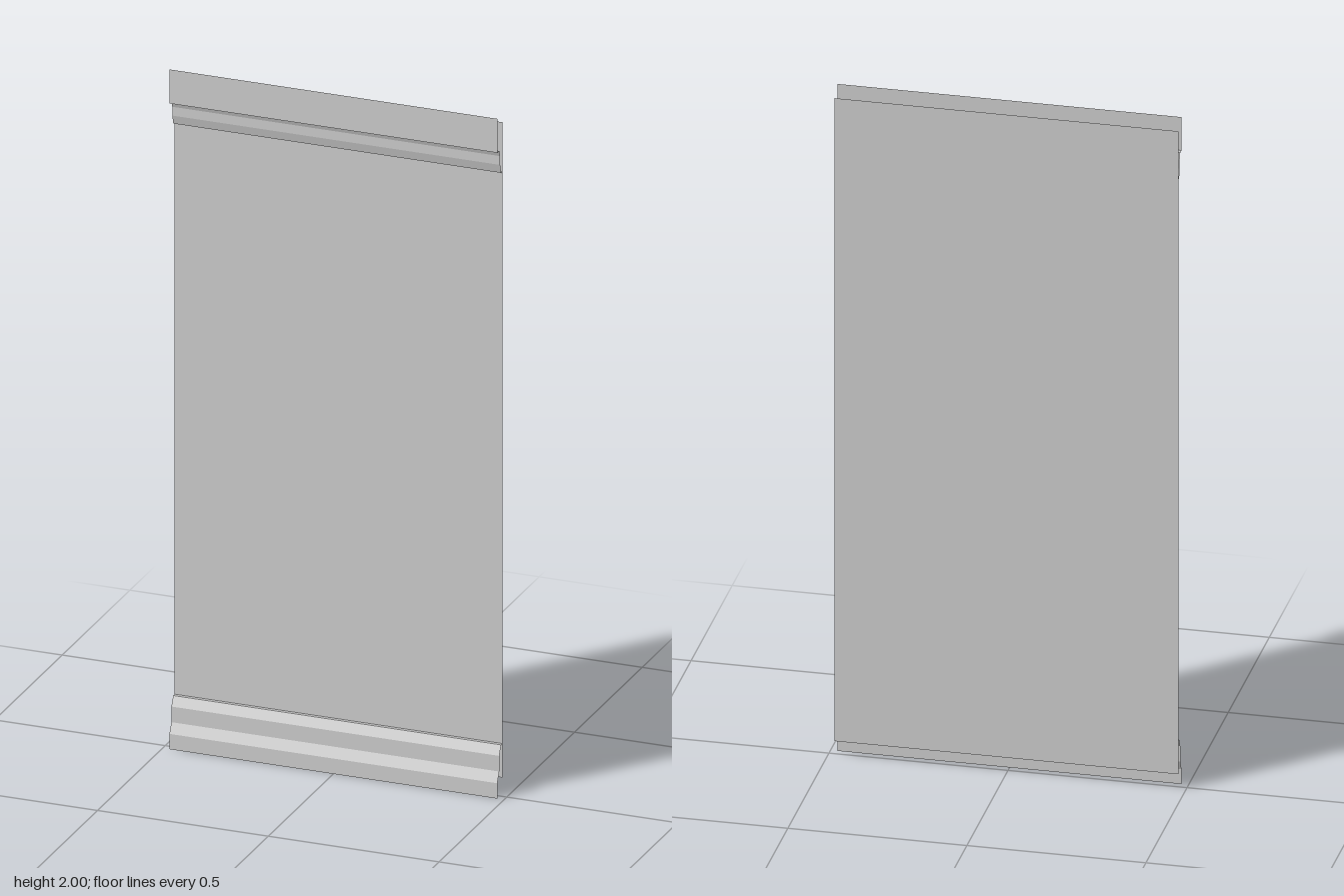
import * as THREE from 'three';

const WIDTH = 0.96;
const BACK = -0.0195, FRONT = 0.0195;

const material = new THREE.MeshStandardMaterial({
  color: 0xcccccc, flatShading: true, side: THREE.DoubleSide,
});

// Sweeps a [z, y] profile, listed from top to bottom, across the width as an open sheet
function sheet(name, profile) {
  const positions = [], index = [];
  profile.forEach(([z, y], i) => {
    positions.push(-WIDTH / 2, y, z, WIDTH / 2, y, z);
    if (i > 0) {
      const a = 2 * (i - 1);
      index.push(a, a + 2, a + 1, a + 1, a + 2, a + 3);
    }
  });
  const geometry = new THREE.BufferGeometry();
  geometry.setAttribute('position', new THREE.Float32BufferAttribute(positions, 3));
  geometry.setIndex(index);
  const flat = geometry.toNonIndexed();
  flat.computeVertexNormals();
  const mesh = new THREE.Mesh(flat, material);
  mesh.name = name;
  return mesh;
}

export function createModel() {
  const group = new THREE.Group();
  group.name = 'wallPanel';

  // Flat wall, a little shorter than the mouldings at both ends
  group.add(sheet('wall', [[BACK, 1.975], [BACK, 0.047]]));

  // Top moulding: upright fascia, lip, then two undercut steps back to the wall
  group.add(sheet('crownMoulding', [
    [FRONT, 2], [FRONT, 1.9], [0.005, 1.9], [-0.002, 1.882],
    [-0.002, 1.856], [-0.009, 1.83], [BACK, 1.83],
  ]));

  // Bottom moulding: top ledge, then two sloped steps out to the upright foot
  group.add(sheet('baseboard', [
    [BACK, 0.147], [-0.009, 0.147], [0.005, 0.12],
    [0.005, 0.074], [FRONT, 0.045], [FRONT, 0],
  ]));

  return group;
}
